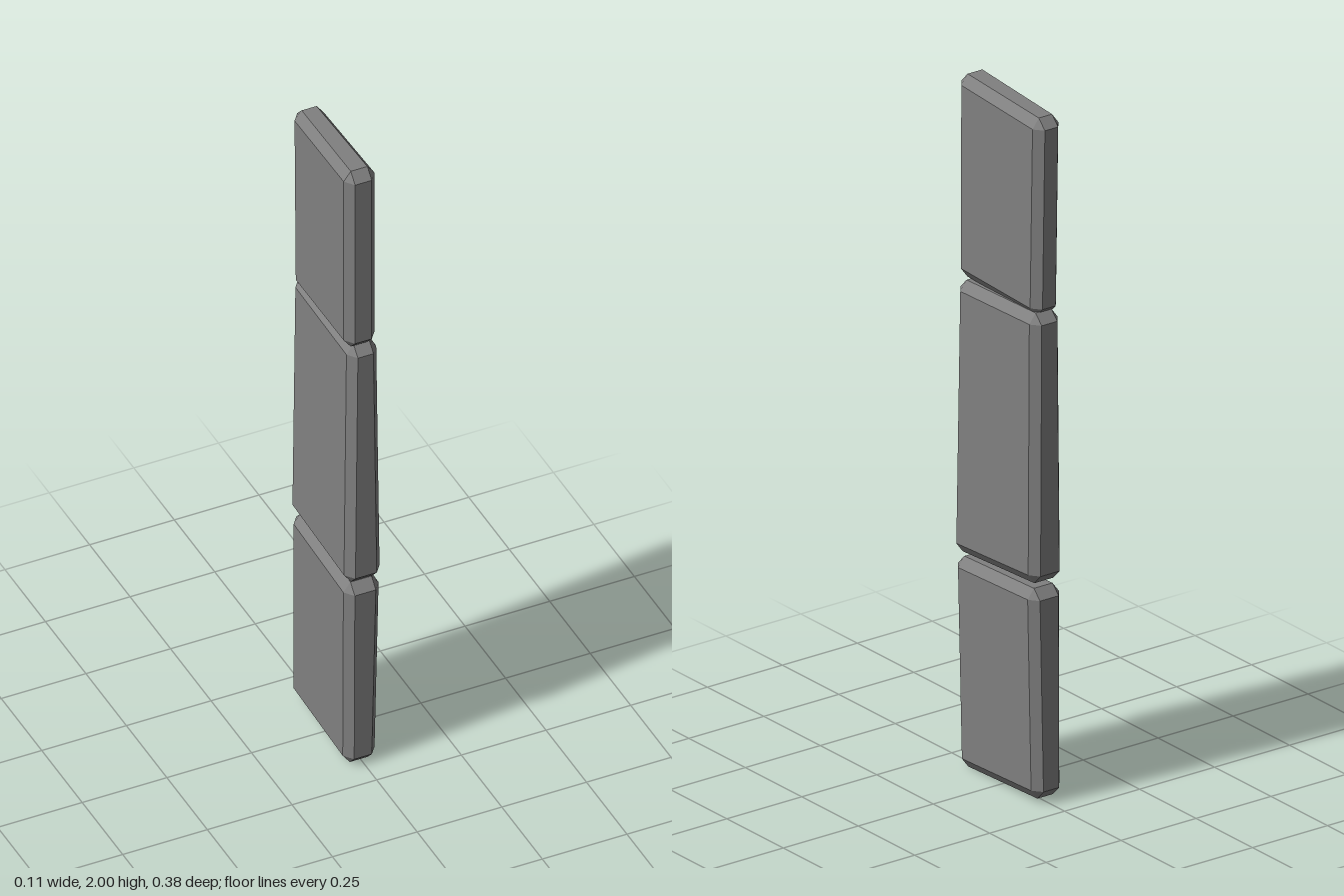
import * as THREE from 'three';
import { ConvexGeometry } from 'three/addons/geometries/ConvexGeometry.js';

// Chamfered stone block; each level lists the outline at the front and back edge: [xMin, xMax, y, z].
function blockGeometry(bottom, top) {
  const cx = 0.021, cy = 0.028, cz = 0.027;
  const points = [];
  [[bottom, 1], [top, -1]].forEach(([level, inY]) => {
    level.forEach(([x0, x1, y, z]) => {
      const inZ = z > 0 ? -1 : 1;
      [[x0, 1], [x1, -1]].forEach(([x, inX]) => {
        // three points per corner, one on each neighbouring face
        points.push(
          new THREE.Vector3(x, y + inY * cy, z + inZ * cz),
          new THREE.Vector3(x + inX * cx, y, z + inZ * cz),
          new THREE.Vector3(x + inX * cx, y + inY * cy, z),
        );
      });
    });
  });
  return new ConvexGeometry(points);
}

export function createModel() {
  const group = new THREE.Group();
  group.name = 'stonePillar';
  const stone = new THREE.MeshStandardMaterial({ color: 0x808080 });
  stone.name = 'grey stone';

  // front edge first, then back edge
  const blocks = [
    ['lowerBlock',
      [[-0.052, 0.042, 0, 0.176], [-0.05, 0.044, 0.012, -0.187]],
      [[-0.052, 0.052, 0.61, 0.18], [-0.05, 0.054, 0.622, -0.185]]],
    ['middleBlock',
      [[-0.055, 0.05, 0.62, 0.19], [-0.055, 0.05, 0.635, -0.182]],
      [[-0.042, 0.046, 1.408, 0.178], [-0.044, 0.05, 1.418, -0.187]]],
    ['upperBlock',
      [[-0.055, 0.036, 1.412, 0.188], [-0.05, 0.036, 1.4, -0.172]],
      [[-0.053, 0.038, 2.0, 0.184], [-0.046, 0.04, 1.98, -0.188]]],
  ];
  for (const [name, bottom, top] of blocks) {
    const mesh = new THREE.Mesh(blockGeometry(bottom, top), stone);
    mesh.name = name;
    group.add(mesh);
  }
  return group;
}
